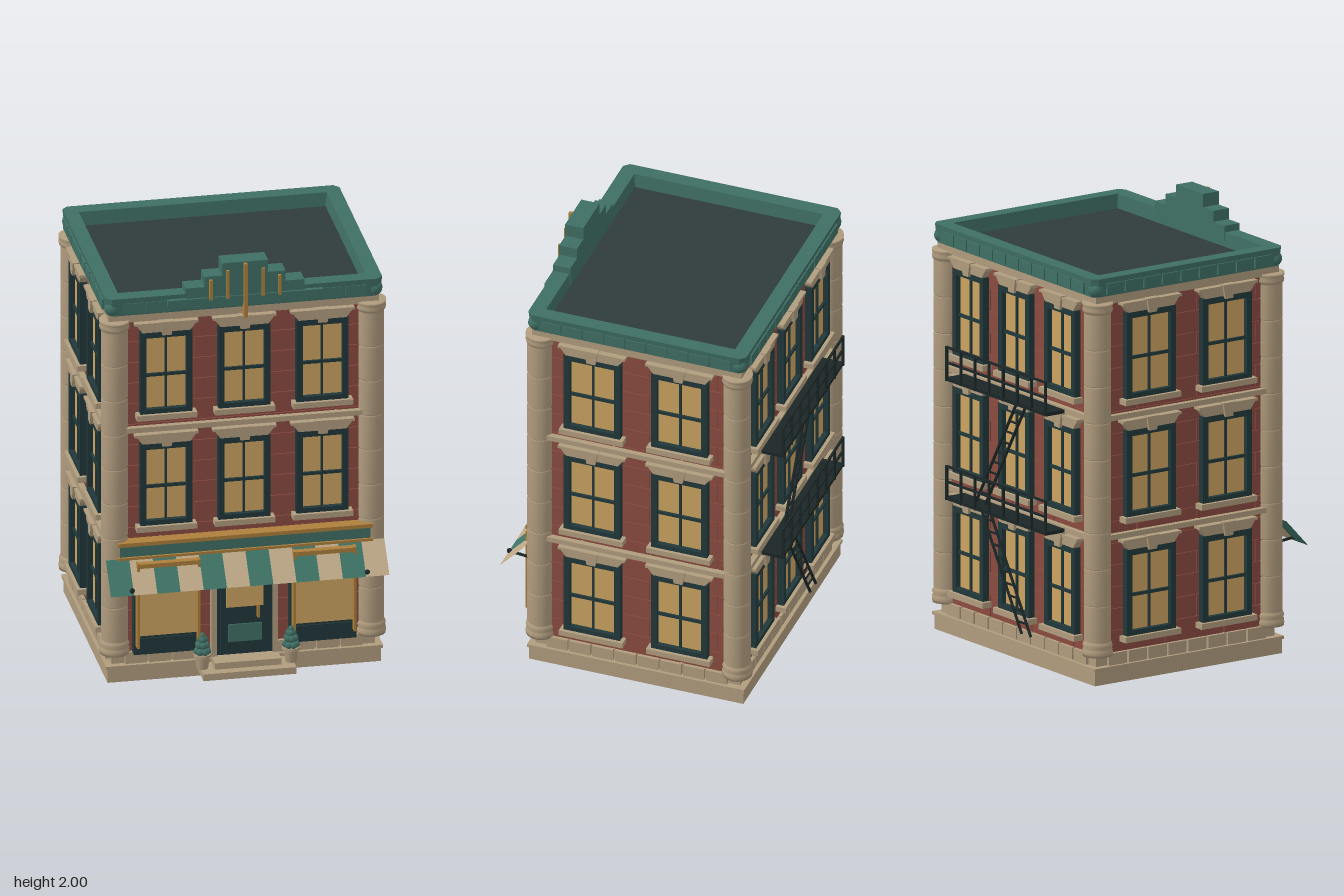
import * as THREE from 'three';

const mat = (name, color, side = THREE.FrontSide) => {
  const m = new THREE.MeshStandardMaterial({ color, side });
  m.name = name;
  return m;
};

export function createModel() {
  const brick = mat('brick', 0x8a4b40), stone = mat('stone', 0xb09c7e), green = mat('green', 0x3f6f64);
  const frameDark = mat('darkTeal', 0x21383a), slate = mat('slate', 0x2f3b3b), glass = mat('warmGlass', 0xcba360);
  const gold = mat('gold', 0xac7f3b), iron = mat('iron', 0x1b2626);
  const clothGreen = mat('awningGreen', 0x3f7568, THREE.DoubleSide), clothCream = mat('awningCream', 0xc0aa88, THREE.DoubleSide);

  const root = new THREE.Group();
  root.name = 'cornerShopBuilding';
  const ZC = -0.016, HX = 0.595, HZ = 0.48;

  const add = (parent, name, geo, material, x = 0, y = 0, z = 0) => {
    const m = new THREE.Mesh(geo, material);
    m.name = name;
    m.position.set(x, y, z);
    parent.add(m);
    return m;
  };
  // box given by its extents on each axis
  const box = (parent, name, material, x0, x1, y0, y1, z0, z1) =>
    add(parent, name, new THREE.BoxGeometry(x1 - x0, y1 - y0, z1 - z0), material, (x0 + x1) / 2, (y0 + y1) / 2, (z0 + z1) / 2);
  const group = (parent, name) => {
    const g = new THREE.Group();
    g.name = name;
    parent.add(g);
    return g;
  };
  const polygon = (pts) => new THREE.Shape(pts.map((p) => new THREE.Vector2(...p)));
  const extrude = (shape, depth) => new THREE.ExtrudeGeometry(shape, { depth, bevelEnabled: false });
  const rod = (parent, name, material, a, b, r) => {
    const from = new THREE.Vector3(...a), to = new THREE.Vector3(...b), d = to.clone().sub(from);
    const m = add(parent, name, new THREE.CylinderGeometry(r, r, d.length(), 6), material);
    m.position.copy(from).add(to).multiplyScalar(0.5);
    m.quaternion.setFromUnitVectors(new THREE.Vector3(0, 1, 0), d.normalize());
    return m;
  };

  // plinth and wall core
  box(root, 'plinth', stone, -0.617, 0.617, 0, 0.07, ZC - 0.506, ZC + 0.506);
  box(root, 'plinthLip', stone, -0.625, 0.625, 0.066, 0.08, ZC - 0.513, ZC + 0.513);
  box(root, 'baseCourse', stone, -0.595, 0.595, 0.08, 0.132, ZC - 0.483, ZC + 0.483);
  box(root, 'wallCore', brick, -HX + 0.006, HX - 0.006, 0.13, 1.76, ZC - HZ + 0.006, ZC + HZ - 0.006);
  box(root, 'crownCourse', stone, -0.61, 0.61, 1.735, 1.775, ZC - 0.495, ZC + 0.495);

  // sash window with frame, glazing bars, sill, lintel and keystone; origin at frame bottom on the wall
  const H = 0.395;
  function makeWindow(parent, x, y, w) {
    const g = group(parent, 'window');
    g.position.set(x, y, 0);
    const h = w / 2, t = 0.028;
    const frame = polygon([[-h, 0], [h, 0], [h, H], [-h, H]]);
    frame.holes.push(new THREE.Path([[-h + t, t * 0.8], [-h + t, H - t], [h - t, H - t], [h - t, t * 0.8]].map((p) => new THREE.Vector2(...p))));
    add(g, 'windowFrame', extrude(frame, 0.032), frameDark);
    box(g, 'windowPane', glass, -h + t, h - t, t * 0.8, H - t, 0, 0.009);
    box(g, 'verticalBar', frameDark, -0.005, 0.005, t * 0.8, H - t, 0.008, 0.018);
    box(g, 'meetingRail', frameDark, -h + t, h - t, 0.176, 0.19, 0.008, 0.02);
    box(g, 'windowSill', stone, -h - 0.018, h + 0.018, -0.026, 0, 0, 0.048);
    add(g, 'lintel', extrude(polygon([[-h + 0.01, H], [h - 0.01, H], [h + 0.022, H + 0.042], [-h - 0.022, H + 0.042]]), 0.034), stone);
    box(g, 'lintelCap', stone, -h - 0.026, h + 0.026, H + 0.036, H + 0.048, 0, 0.04);
    add(g, 'keystone', extrude(polygon([[-0.02, H - 0.012], [0.02, H - 0.012], [0.032, H + 0.052], [-0.032, H + 0.052]]), 0.046), stone);
  }

  // one wall face: staggered brick courses, base blocks, belts and windows
  const floors = [0.205, 0.75, 1.29];
  function makeFacade(name, angle, x, z, half, xs, w, levels) {
    const g = group(root, name);
    g.position.set(x, 0, z);
    g.rotation.y = angle;
    const step = 0.1, len = 0.32;
    for (let r = 0; r < 16; r++) {
      const y0 = 0.135 + r * step, shift = r % 2 ? 0.15 : 0;
      for (let s = -half - shift; s < half; s += len) {
        const a = Math.max(s, -half), b = Math.min(s + len - 0.007, half);
        if (b - a > 0.02) box(g, 'brickCourse', brick, a, b, y0, y0 + step - 0.003, -0.012, 0);
      }
    }
    const n = Math.round(half * 2 / 0.11);
    for (let i = 0; i < n; i++) {
      const c = -half + (i + 0.5) * 2 * half / n;
      box(g, 'baseBlock', stone, c - half / n + 0.005, c + half / n - 0.005, 0.08, 0.135, -0.01, 0.016);
    }
    for (const y of [0.655, 1.2]) {
      box(g, 'beltCourse', stone, -half, half, y, y + 0.024, -0.01, 0.026);
    }
    for (const y of levels) for (const c of xs) makeWindow(g, c, y, w);
    return g;
  }
  const cols = [-0.352, 0, 0.352];
  makeFacade('frontFacade', 0, 0, ZC + HZ, 0.54, cols, 0.235, floors.slice(1));
  makeFacade('backFacade', Math.PI, 0, ZC - HZ, 0.54, cols, 0.235, floors);
  makeFacade('leftFacade', Math.PI / 2, HX, ZC, 0.43, [-0.206, 0.206], 0.265, floors);
  makeFacade('rightFacade', -Math.PI / 2, -HX, ZC, 0.43, [-0.206, 0.206], 0.265, floors);

  // corner columns built of drums, with rings, and finials on the cornice
  const profile = [[0.001, 0.13], [0.067, 0.13], [0.069, 0.145], [0.067, 0.16], [0.062, 0.165], [0.068, 0.178], [0.062, 0.192]];
  for (let i = 0; i < 9; i++) {
    const y = 0.195 + i * 0.1672;
    profile.push([0.057, y], [0.061, y + 0.005], [0.061, y + 0.161], [0.057, y + 0.166]);
  }
  profile.push([0.066, 1.702], [0.069, 1.715], [0.064, 1.725], [0.069, 1.735], [0.069, 1.745], [0.001, 1.745]);
  const columnGeo = new THREE.LatheGeometry(profile.map((p) => new THREE.Vector2(...p)), 16);
  for (const sx of [-1, 1]) for (const sz of [-1, 1]) {
    add(root, 'cornerColumn', columnGeo, stone, sx * 0.578, 0, ZC + sz * 0.464);
    add(root, 'cornerFinial', new THREE.SphereGeometry(0.036, 12, 8), green, sx * 0.592, 1.805, ZC + sz * 0.482);
  }

  // green cornice with recessed flat roof
  const ring = polygon([[-0.625, -0.49], [-0.6, -0.515], [0.6, -0.515], [0.625, -0.49], [0.625, 0.49], [0.6, 0.515], [-0.6, 0.515], [-0.625, 0.49]]);
  ring.holes.push(new THREE.Path([[-0.559, -0.446], [-0.559, 0.446], [0.559, 0.446], [0.559, -0.446]].map((p) => new THREE.Vector2(...p))));
  const cornice = add(root, 'cornice', extrude(ring, 0.085), green, 0, 1.775, ZC);
  cornice.rotation.x = -Math.PI / 2;
  // lower rim tucks in a little
  const cp = cornice.geometry.attributes.position;
  for (let i = 0; i < cp.count; i++) {
    if (cp.getZ(i) < 0.01) cp.setXY(i, cp.getX(i) * 0.985, cp.getY(i) * 0.985);
  }
  cornice.geometry.computeVertexNormals();
  box(root, 'flatRoof', slate, -0.565, 0.565, 1.765, 1.795, ZC - 0.452, ZC + 0.452);
  for (const s of [-1, 1]) {
    for (let i = -5; i <= 5; i++) box(root, 'cornicePanel', green, i * 0.1 - 0.046, i * 0.1 + 0.046, 1.785, 1.835, ZC + s * 0.512 - 0.008, ZC + s * 0.512 + 0.004);
    for (let i = -4; i <= 4; i++) box(root, 'cornicePanel', green, s * 0.622 - 0.008, s * 0.622 + 0.004, 1.785, 1.835, ZC + i * 0.1 - 0.046, ZC + i * 0.1 + 0.046);
  }

  // stepped parapet crest with gold fins
  const crest = group(root, 'crest');
  box(crest, 'crestBase', green, -0.35, 0.35, 1.808, 1.84, 0.46, 0.517);
  [[0.268, 1.89], [0.183, 1.94], [0.103, 2]].forEach(([w, top], i) =>
    box(crest, 'crestStep', green, -w, w, 1.8, top, 0.425, 0.507 + i * 0.002));
  box(crest, 'centreFin', gold, -0.008, 0.008, 1.735, 1.995, 0.49, 0.53);
  for (const s of [-1, 1]) for (const [x, top] of [[0.08, 1.965], [0.155, 1.925]]) {
    box(crest, 'crestFin', gold, s * x - 0.007, s * x + 0.007, 1.83, top, 0.5, 0.522);
  }

  // sign board without lettering
  const sign = group(root, 'signBoard');
  box(sign, 'signPanel', green, -0.565, 0.565, 0.605, 0.675, 0.455, 0.512);
  box(sign, 'signTopTrim', gold, -0.575, 0.575, 0.664, 0.682, 0.455, 0.522);
  box(sign, 'signBottomTrim', gold, -0.575, 0.575, 0.6, 0.612, 0.455, 0.522);

  // striped awning, single cloth thickness, on iron arms
  const awning = group(root, 'awning');
  const sw = 1.256 / 12, drop = 0.127, out = 0.117;
  for (let i = 0; i < 12; i++) {
    const strip = add(awning, 'awningStripe', new THREE.PlaneGeometry(sw, Math.hypot(drop, out)), i % 2 ? clothCream : clothGreen,
      -0.628 + (i + 0.5) * sw, 0.602 - drop / 2, 0.508 + out / 2);
    strip.rotation.x = -Math.atan2(out, drop);
  }
  for (const s of [-1, 1]) {
    rod(awning, 'awningArm', iron, [s * 0.53, 0.478, 0.46], [s * 0.53, 0.493, 0.615], 0.007);
    add(awning, 'armEnd', new THREE.SphereGeometry(0.012, 8, 6), iron, s * 0.53, 0.494, 0.615);
  }

  // shop windows
  for (const s of [-1, 1]) {
    const g = group(root, 'shopWindow');
    g.position.x = s * 0.352;
    box(g, 'shopFrame', frameDark, -0.15, 0.15, 0.135, 0.59, 0.45, 0.515);
    box(g, 'shopPane', glass, -0.13, 0.13, 0.228, 0.57, 0.515, 0.523);
    box(g, 'shopPanel', frameDark, -0.125, 0.125, 0.15, 0.215, 0.51, 0.522);
    for (const e of [-1, 1]) box(g, 'goldUpright', gold, e * 0.137 - 0.006, e * 0.137 + 0.006, 0.18, 0.59, 0.51, 0.552);
    box(g, 'goldHeader', gold, -0.143, 0.143, 0.568, 0.588, 0.51, 0.552);
  }

  // entrance
  const door = group(root, 'entrance');
  for (const s of [-1, 1]) box(door, 'doorJamb', stone, s * 0.138 - 0.012, s * 0.138 + 0.012, 0.08, 0.58, 0.45, 0.505);
  box(door, 'doorFrame', frameDark, -0.126, 0.126, 0.09, 0.58, 0.45, 0.492);
  box(door, 'doorLeaf', frameDark, -0.108, 0.108, 0.1, 0.56, 0.49, 0.502);
  box(door, 'doorPane', glass, -0.084, 0.084, 0.325, 0.54, 0.5, 0.507);
  box(door, 'doorPanel', green, -0.076, 0.076, 0.158, 0.242, 0.5, 0.508);
  box(door, 'doorHandle', gold, 0.052, 0.064, 0.275, 0.338, 0.5, 0.526);
  box(door, 'lowerStep', stone, -0.21, 0.21, 0.03, 0.062, 0.45, 0.62);
  box(door, 'upperStep', stone, -0.15, 0.15, 0.06, 0.092, 0.45, 0.578);

  // potted topiaries
  for (const s of [-1, 1]) {
    const g = group(root, 'planter');
    g.position.set(s * 0.2, 0, 0.545);
    add(g, 'pot', new THREE.CylinderGeometry(0.036, 0.026, 0.07, 12), stone, 0, 0.095, 0);
    add(g, 'potRim', new THREE.CylinderGeometry(0.041, 0.041, 0.014, 12), stone, 0, 0.126, 0);
    [[0.145, 0.024, 7], [0.175, 0.018, 6], [0.2, 0.009, 4]].forEach(([y, r, n]) => {
      for (let i = 0; i < n; i++) {
        const a = i / n * Math.PI * 2 + y * 9;
        add(g, 'leafCluster', new THREE.SphereGeometry(0.017, 7, 5), green, Math.cos(a) * r, y, Math.sin(a) * r);
      }
    });
    add(g, 'leafTip', new THREE.SphereGeometry(0.015, 7, 5), green, 0, 0.217, 0);
  }

  // rear fire escape: platforms, outer railings and slanted ladders
  const escape = group(root, 'fireEscape');
  for (const y of [0.655, 1.2]) {
    box(escape, 'platform', iron, -0.385, 0.385, y, y + 0.016, -0.623, -0.49);
    for (const h of [0.08, 0.15]) box(escape, 'handRail', iron, -0.385, 0.385, y + h, y + h + 0.009, -0.627, -0.617);
    for (let i = 0; i < 8; i++) {
      const x = -0.38 + i * 0.76 / 7;
      box(escape, 'railPost', iron, x - 0.005, x + 0.005, y, y + 0.157, -0.627, -0.617);
    }
  }
  for (const [x0, y0, x1, y1] of [[-0.15, 0.14, 0.17, 0.66], [0.2, 0.67, -0.12, 1.2]]) {
    const z = -0.565;
    for (const d of [-0.035, 0.035]) rod(escape, 'ladderRail', iron, [x0 + d, y0, z], [x1 + d, y1, z], 0.007);
    for (let i = 1; i < 10; i++) {
      const x = x0 + (x1 - x0) * i / 10, y = y0 + (y1 - y0) * i / 10;
      rod(escape, 'ladderRung', iron, [x - 0.035, y, z], [x + 0.035, y, z], 0.005);
    }
  }
  return root;
}
